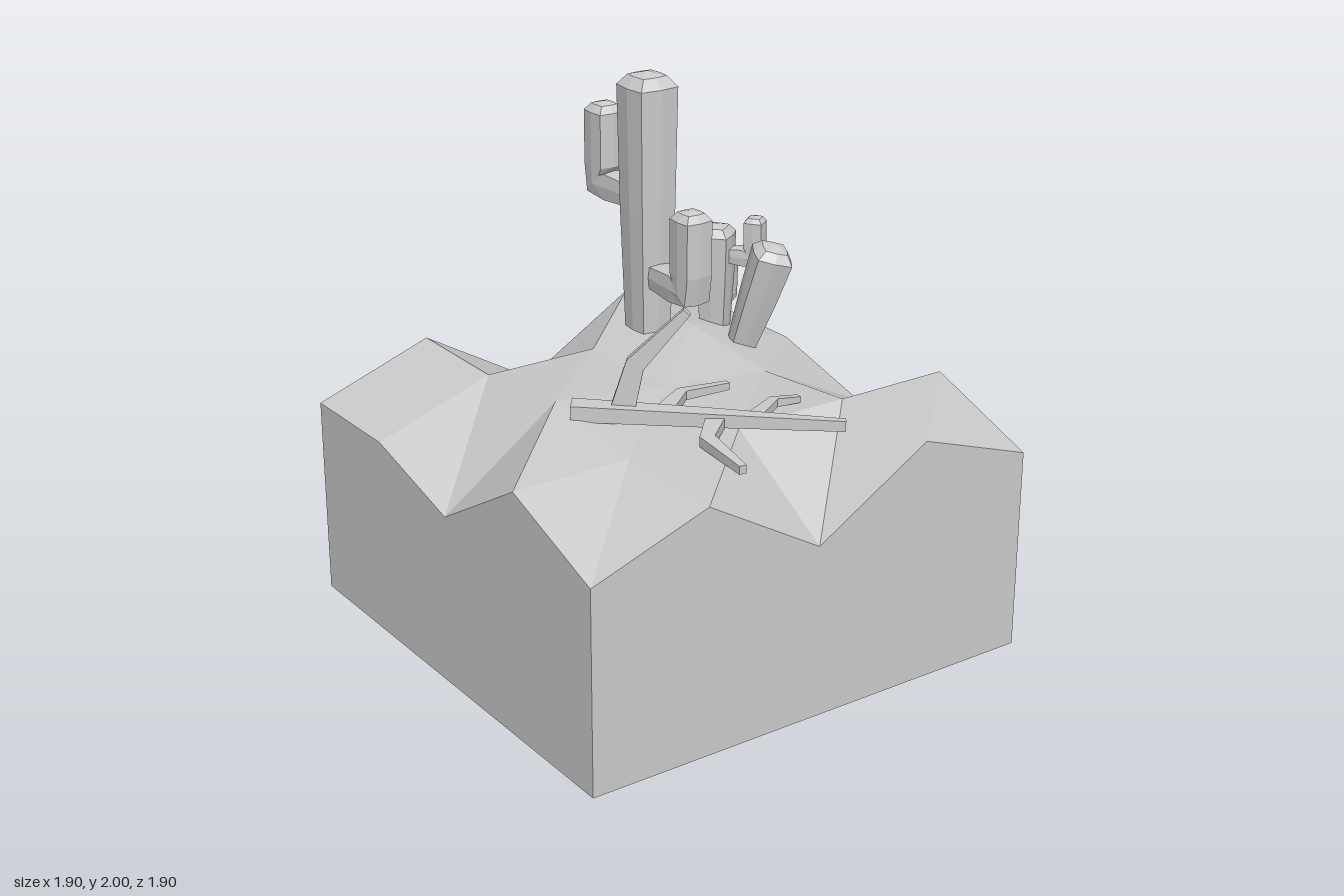
import * as THREE from 'three';

const V = (x, y, z) => new THREE.Vector3(x, y, z);
const UP = V(0, 1, 0);
const SQUARE = [[1, 1], [-1, 1], [-1, -1], [1, -1]];
const PUFFED = [[1, 0], [0.9, 0.9], [0, 1], [-0.9, 0.9], [-1, 0], [-0.9, -0.9], [0, -1], [0.9, -0.9]];
const material = new THREE.MeshStandardMaterial({ color: 0xcccccc, flatShading: true });

// Skins a closed limb over stations [centre, halfWidth, halfHeight]
function limb(name, stations, shape, fixedSide) {
  const pos = [], index = [], n = shape.length, last = stations.length - 1;
  stations.forEach(([c, w, h = w], i) => {
    const t = stations[Math.min(i + 1, last)][0].clone()
      .sub(stations[Math.max(i - 1, 0)][0]).normalize();
    const e = fixedSide ? fixedSide.clone() : t.clone().cross(UP).normalize();
    const s = t.clone().cross(e).normalize();
    for (const [a, b] of shape) {
      pos.push(...c.clone().addScaledVector(e, a * w).addScaledVector(s, b * h).toArray());
    }
  });
  for (let i = 0; i < last; i++) {
    for (let j = 0; j < n; j++) {
      const a = i * n + j, b = i * n + (j + 1) % n;
      index.push(a, b, b + n, a, b + n, a + n);
    }
  }
  // End caps
  const start = pos.length / 3;
  pos.push(...stations[0][0].toArray(), ...stations[last][0].toArray());
  for (let j = 0; j < n; j++) {
    const k = (j + 1) % n;
    index.push(start, k, j, start + 1, last * n + j, last * n + k);
  }
  const geo = new THREE.BufferGeometry();
  geo.setAttribute('position', new THREE.Float32BufferAttribute(pos, 3));
  geo.setIndex(index);
  geo.computeVertexNormals();
  const mesh = new THREE.Mesh(geo, material);
  mesh.name = name;
  return mesh;
}

// Upright cactus stem with a bevelled, pointed top
function stem(name, height, bottom, top) {
  return limb(name, [
    [V(0, 0, 0), bottom],
    [V(0, height * 0.5, 0), (bottom + top) / 2 + 0.004],
    [V(0, height - top * 0.6, 0), top],
    [V(0, height - top * 0.16, 0), top * 0.64],
    [V(0, height, 0), 0.001],
  ], PUFFED, V(1, 0, 0));
}

// Elbowed arm growing along local +x, then up
function arm(name, reach, y, top, r) {
  return limb(name, [
    [V(0.03, y, 0), r * 0.7],
    [V(reach - r * 1.1, y, 0), r * 0.92],
    [V(reach, y, 0), r],
    [V(reach, y + r * 1.1, 0), r],
    [V(reach, top - r * 0.6, 0), r],
    [V(reach, top - r * 0.16, 0), r * 0.64],
    [V(reach, top, 0), 0.001],
  ], PUFFED, V(0, 0, 1));
}

// Cactus: stem plus arms [angle, reach, elbow height, top height], heights from its base
function cactus(name, base, height, bottom, top, spin, arms, r) {
  const g = new THREE.Group();
  g.name = name;
  g.position.copy(base);
  g.rotation.y = spin;
  g.add(stem(name + 'Stem', height, bottom, top));
  arms.forEach(([angle, reach, y, tip]) => {
    const a = arm(name + 'Arm', reach, y, tip, r);
    a.rotation.y = angle;
    g.add(a);
  });
  return g;
}

// Ground block: a 4 x 4 grid whose top corners are raised to these heights (back row first)
function ground() {
  const heights = [
    [0.79, 0.955, 0.675, 0.955, 0.79],
    [0.795, 0.955, 0.955, 0.955, 0.795],
    [0.675, 1.01, 0.955, 0.91, 0.675],
    [0.955, 0.955, 0.955, 0.955, 0.955],
    [0.79, 0.955, 0.675, 0.955, 0.79],
  ];
  const geo = new THREE.BoxGeometry(1.9, 1, 1.9, 4, 1, 4).translate(0, 0.5, 0);
  const p = geo.attributes.position;
  for (let i = 0; i < p.count; i++) {
    if (p.getY(i) < 0.5) continue;
    const col = Math.round((p.getX(i) + 0.95) / 0.475);
    const row = Math.round((p.getZ(i) + 0.95) / 0.475);
    p.setY(i, heights[row][col]);
  }
  geo.computeVertexNormals();
  const mesh = new THREE.Mesh(geo, material);
  mesh.name = 'ground';
  return mesh;
}

// Fallen dead branch with one raised fork and three low twigs
function deadBranch() {
  const g = new THREE.Group();
  g.name = 'deadBranch';
  const add = (name, pts) => g.add(limb(name,
    pts.map(([x, y, z, w, h]) => [V(x, y, z), w, h]), SQUARE));
  add('mainBranch', [
    [-0.48, 1.015, 0.11, 0.042, 0.03],
    [-0.1, 0.995, 0.4, 0.032, 0.026],
    [0.3, 0.975, 0.71, 0.014, 0.02],
  ]);
  add('raisedFork', [
    [-0.325, 1.0, 0.205, 0.02, 0.045],
    [-0.285, 1.19, 0.235, 0.019, 0.035],
    [-0.145, 1.395, 0.355, 0.015, 0.016],
  ]);
  add('backTwig', [
    [-0.2, 0.995, 0.29, 0.035, 0.02],
    [-0.035, 0.99, 0.168, 0.022, 0.018],
    [0.17, 0.98, 0.175, 0.013, 0.014],
  ]);
  add('sideTwig', [
    [0.05, 0.98, 0.49, 0.028, 0.018],
    [0.22, 0.975, 0.39, 0.018, 0.016],
    [0.33, 0.965, 0.4, 0.012, 0.012],
  ]);
  add('frontTwig', [
    [-0.08, 0.985, 0.44, 0.035, 0.02],
    [-0.195, 0.98, 0.55, 0.028, 0.02],
    [-0.225, 0.97, 0.8, 0.014, 0.016],
  ]);
  return g;
}

export function createModel() {
  const model = new THREE.Group();
  model.name = 'desertScene';
  model.add(ground(), deadBranch());

  const q = Math.PI / 2;
  model.add(cactus('tallCactus', V(0.312, 0.9, -0.555), 1.1, 0.07, 0.095, 0, [
    [-q, 0.292, 0.29, 0.62],
    [q, 0.3, 0.585, 0.915],
  ], 0.065));
  model.add(cactus('smallCactus', V(0.67, 0.87, -0.59), 0.44, 0.055, 0.072, 0.62, [
    [0, 0.145, 0.1, 0.28],
    [-q, 0.165, 0.315, 0.49],
    [q, 0.145, 0.24, 0.405],
  ], 0.041));

  // Armless cactus leaning forward and to its left
  const leaning = stem('leaningCactus', 0.455, 0.052, 0.078);
  leaning.position.set(0.612, 0.885, -0.335);
  leaning.quaternion.setFromUnitVectors(UP, V(0.075, 0.43, 0.118).normalize());
  leaning.rotateY(-0.45);
  model.add(leaning);
  return model;
}
